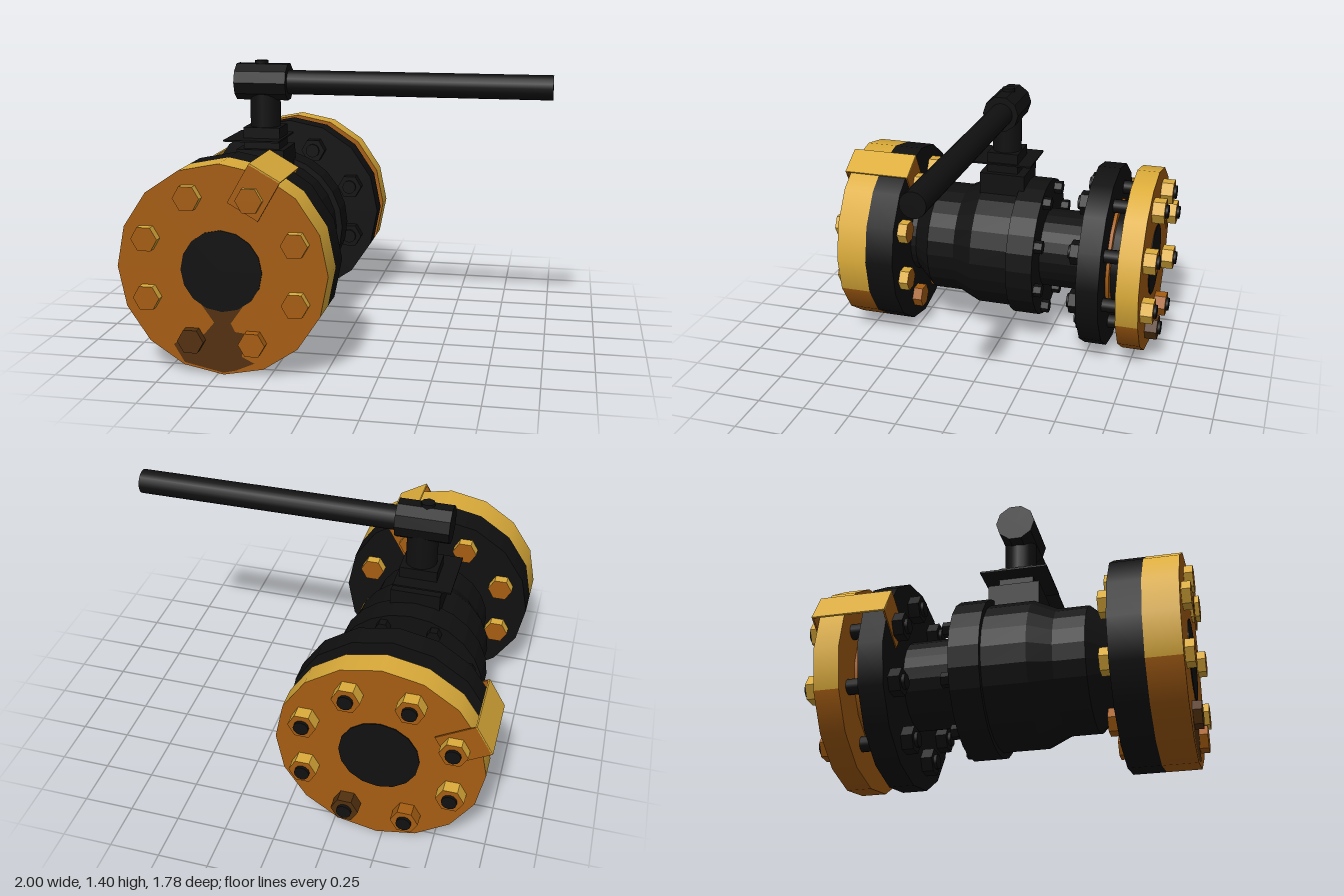
import * as THREE from 'three';

const CX = -0.47, CY = 0.505, RAD = Math.PI / 180;

export function createModel() {
  const mat = (name, color) => {
    const m = new THREE.MeshStandardMaterial({ color });
    m.name = name;
    return m;
  };
  const black = mat('black iron', 0x101010);
  const yellow = mat('yellow brass', 0xdcac3a);
  const orange = mat('orange rust', 0xa55d12);
  const brown = mat('dark brown stain', 0x52300f);

  const model = new THREE.Group();
  model.name = 'ballValve';
  const add = (parent, name, geo, material, x = 0, y = 0, z = 0) => {
    const mesh = new THREE.Mesh(geo, material);
    mesh.name = name;
    mesh.position.set(x, y, z);
    parent.add(mesh);
    return mesh;
  };
  // cylinder along z between two depths
  const zCyl = (r, z0, z1, sides, start = 0, length = Math.PI * 2) =>
    new THREE.CylinderGeometry(r, r, z1 - z0, sides, 1, false, start, length)
      .rotateX(Math.PI / 2).translate(0, 0, (z0 + z1) / 2);
  // hexagonal head with points to the sides
  const hex = (r, z0, z1) => zCyl(r, z0, z1, 6, Math.PI / 2);
  const flat = (geo) => {
    const g = geo.toNonIndexed();
    g.computeVertexNormals();
    return g;
  };

  // everything around the pipe axis
  const pipe = new THREE.Group();
  pipe.name = 'pipeAssembly';
  pipe.position.set(CX, CY, 0);
  model.add(pipe);

  // flanges: brass upper rim, rusty lower rim and faces
  const brassFlange = (name, z0, z1) => {
    add(pipe, name + 'Upper', zCyl(0.505, z0, z1, 10, 67.5 * RAD, 225 * RAD), [yellow, orange, orange]);
    add(pipe, name + 'Lower', zCyl(0.505, z0, z1, 6, -67.5 * RAD, 135 * RAD), orange);
  };
  brassFlange('frontFlange', 0.685, 0.85);
  brassFlange('backFlange', -0.81, -0.69);
  add(pipe, 'frontBodyFlange', zCyl(0.505, 0.53, 0.685, 16), black);
  add(pipe, 'backBodyFlange', zCyl(0.505, -0.6, -0.48, 16), black);
  add(pipe, 'frontBore', zCyl(0.195, 0.848, 0.855, 16), black);
  add(pipe, 'backBore', zCyl(0.195, -0.815, -0.808, 16), black);
  add(pipe, 'bodyRaisedFace', zCyl(0.31, -0.618, -0.6, 16), orange);
  add(pipe, 'backRaisedFace', zCyl(0.31, -0.69, -0.673, 16), orange);
  add(pipe, 'gasket', zCyl(0.27, -0.673, -0.618, 16), black);

  // stain running down from the front bore
  const stain = new THREE.Shape([
    [-0.1, -0.165], [-0.04, -0.25], [-0.09, -0.31], [-0.2, -0.33], [-0.24, -0.37],
    [-0.19, -0.455], [0, -0.495], [0.06, -0.48], [0.15, -0.44], [0.09, -0.41],
    [0.1, -0.36], [0.15, -0.3], [0.06, -0.29], [0.04, -0.25], [0.1, -0.165],
  ].map(([x, y]) => new THREE.Vector2(x, y)));
  add(pipe, 'frontStain', new THREE.ShapeGeometry(stain), brown, 0, 0, 0.852);

  // valve body turned around the pipe axis
  const profile = [
    [0.215, 0.55], [0.215, 0.5], [0.305, 0.4], [0.305, 0.25], [0.355, 0.14],
    [0.355, -0.07], [0.385, -0.07], [0.385, -0.215], [0.218, -0.215], [0.218, -0.5],
  ].reverse().map(([r, z]) => new THREE.Vector2(r, z));
  add(pipe, 'valveBody', flat(new THREE.LatheGeometry(profile, 24).rotateX(Math.PI / 2)), black);

  // bolts
  for (let i = 0; i < 8; i++) {
    const a = (22.5 + 45 * i) * RAD;
    const x = 0.385 * Math.cos(a), y = 0.37 * Math.sin(a) + 0.004;
    const low = y < -0.25;
    const side = low ? orange : yellow;
    const frontMat = i === 5 ? brown : [side, orange, orange];
    const backMat = i === 6 ? brown : [side, orange, orange];
    add(pipe, 'frontBoltHead', flat(hex(0.064, 0.85, 0.892)), frontMat, x, y);
    add(pipe, 'frontNut', flat(hex(0.064, 0.478, 0.53)), [side, orange, orange], x, y);
    add(pipe, 'backBoltHead', flat(hex(0.068, -0.875, -0.81)), backMat, x, y);
    add(pipe, 'backStud', zCyl(0.037, -0.89, -0.41, 12), black, x, y);
    add(pipe, 'backNut', flat(hex(0.066, -0.48, -0.425)), black, x, y);
    add(pipe, 'bodyBolt', flat(hex(0.036, -0.258, -0.21)), black,
      0.335 * Math.cos(a), 0.335 * Math.sin(a));
  }

  // U-shaped clips over the flanges
  const clip = (name, x, y, tilt, z0, z1) => {
    const g = new THREE.Group();
    g.name = name;
    g.position.set(x, y, 0);
    g.rotation.z = tilt;
    const t = 0.008;
    add(g, 'clipTop', new THREE.BoxGeometry(0.165, t, z1 - z0), yellow, 0, -t / 2, (z0 + z1) / 2);
    for (const z of [z0 + t / 2, z1 - t / 2])
      add(g, 'clipLeg', new THREE.BoxGeometry(0.165, 0.21, t), orange, 0, -0.105 - t / 2, z);
    model.add(g);
  };
  clip('frontClip', -0.25, 0.98, -30 * RAD, 0.51, 0.87);
  clip('backClip', -0.955, 0.728, 60 * RAD, -0.825, -0.475);

  // stem, hub and lever
  const SZ = 0.03;
  add(model, 'stemPad', new THREE.BoxGeometry(0.25, 0.2, 0.25), black, CX, 0.85, 0.025);
  add(model, 'stemCollar', new THREE.BoxGeometry(0.19, 0.13, 0.17), black, CX, 0.995, SZ);
  add(model, 'stopPlate', new THREE.BoxGeometry(0.29, 0.008, 0.33), black, CX - 0.035, 1, 0.035);
  add(model, 'stem', new THREE.CylinderGeometry(0.079, 0.079, 0.26, 16), black, CX + 0.002, 1.15, SZ);
  add(model, 'leverHub', flat(new THREE.CylinderGeometry(0.097, 0.097, 0.27, 10).rotateZ(Math.PI / 2)),
    black, -0.475, 1.29, 0.033);
  add(model, 'hubCap', new THREE.CylinderGeometry(0.035, 0.035, 0.05, 8), black, -0.485, 1.373, SZ);
  add(model, 'lever', new THREE.CylinderGeometry(0.0625, 0.0625, 1.4, 16).rotateZ(Math.PI / 2),
    black, 0.3, 1.288, SZ);

  return model;
}
